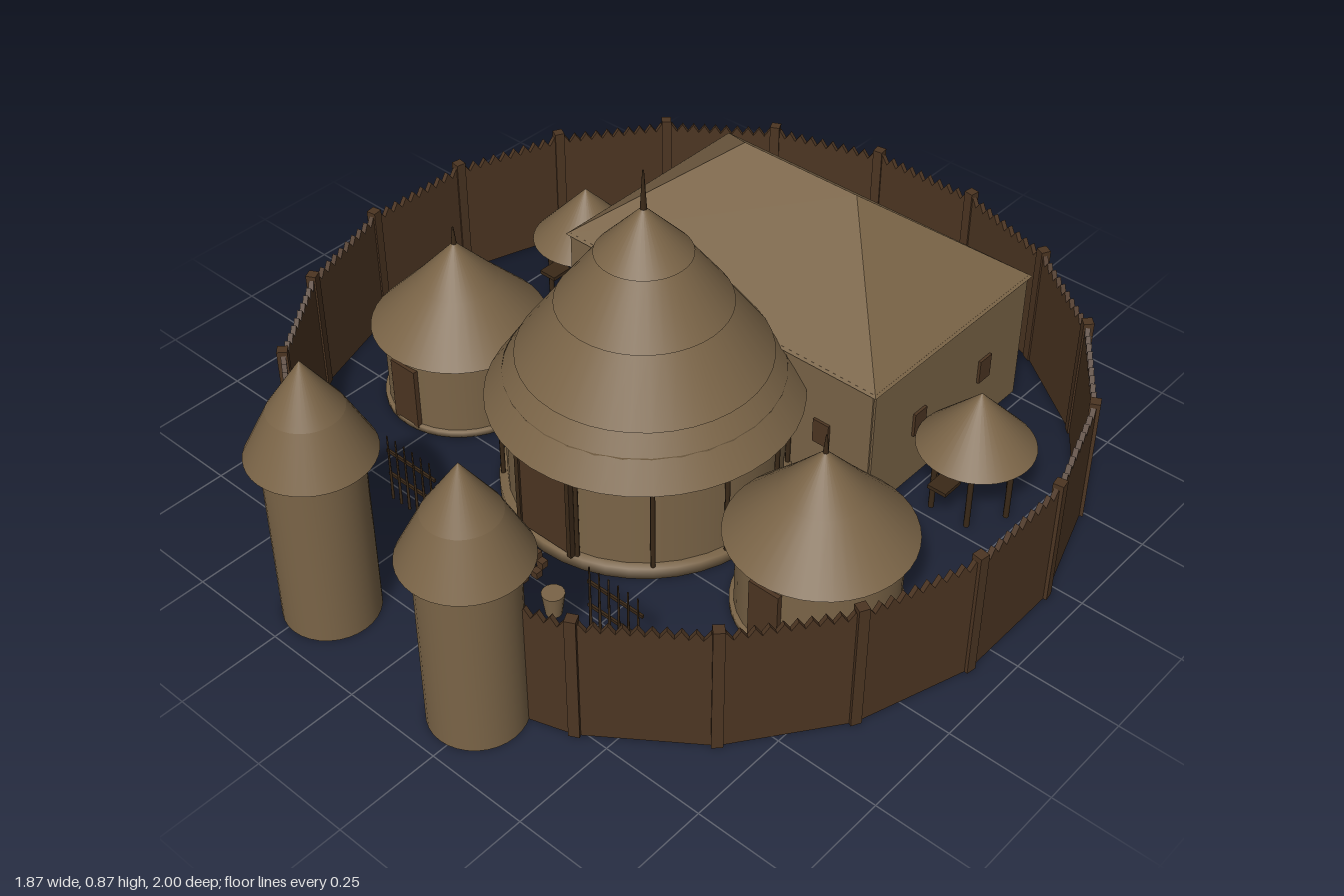
import * as THREE from 'three';

const mat = (name, color) => new THREE.MeshStandardMaterial({ name, color, side: THREE.DoubleSide });

export function createModel() {
  const tan = mat('tan thatch and clay', 0x7a6447);
  const brown = mat('brown palisade', 0x4c3522);
  const dark = mat('dark timber', 0x3a2918);
  const model = new THREE.Group();

  const add = (parent, name, geo, material, x = 0, y = 0, z = 0) => {
    const m = new THREE.Mesh(geo, material);
    m.name = name;
    m.position.set(x, y, z);
    parent.add(m);
    return m;
  };
  const group = (name, x = 0, z = 0) => {
    const g = new THREE.Group();
    g.name = name;
    g.position.set(x, 0, z);
    model.add(g);
    return g;
  };
  const box = (w, h, d) => new THREE.BoxGeometry(w, h, d);

  // Open wall of a round building, standing on the ground
  const roundWall = (g, r, h) =>
    add(g, 'wall', new THREE.CylinderGeometry(r, r, h, 32, 1, true), tan, 0, h / 2, 0);
  // Stacked roof tiers from [radius, height] pairs, each lapping over the one below
  const roof = (g, pts, lap = 0) => {
    for (let i = 0; i < pts.length - 1; i++) {
      const [r0, y0] = pts[i], [r1, y1] = pts[i + 1];
      add(g, 'roofTier', new THREE.CylinderGeometry(r1, r0 + (i ? lap : 0), y1 - y0, 40, 1, true),
        tan, 0, (y0 + y1) / 2, 0);
    }
  };
  const plinth = (g, r, h) => {
    const pts = [[r - 0.025, 0], [r, 0], [r, h], [r - 0.025, h]].map(p => new THREE.Vector2(...p));
    add(g, 'plinth', new THREE.LatheGeometry(pts, 40), tan);
  };
  const spike = (g, y0, y1) =>
    add(g, 'spike', new THREE.CylinderGeometry(0.002, 0.008, y1 - y0, 8), dark, 0, (y0 + y1) / 2, 0);
  const postRing = (g, n, r, h, t) => {
    for (let i = 0; i < n; i++) {
      const a = ((i + 0.5) / n) * Math.PI * 2;
      add(g, 'post', new THREE.CylinderGeometry(t, t, h, 6), dark, r * Math.sin(a), h / 2, r * Math.cos(a));
    }
  };

  // Palisade: a twenty-sided ring with a gap at the gate
  const palisade = group('palisade', 0, -0.07);
  const R = 0.933, step = Math.PI / 10;
  const side = 2 * R * Math.sin(step / 2);
  const corner = k => [R * Math.sin((k + 0.5) * step), -R * Math.cos((k + 0.5) * step)];
  const panel = (k, from, to) => {
    const [ax, az] = corner(k - 1), [bx, bz] = corner(k);
    const s = new THREE.Shape();
    const tooth = side / 10;
    const n = Math.round((to - from) * 10);
    s.moveTo(0, 0);
    s.lineTo(0, 0.303);
    for (let i = 0; i < n; i++) {
      s.lineTo((i + 0.5) * tooth, 0.325);
      s.lineTo((i + 1) * tooth, 0.303);
    }
    s.lineTo(n * tooth, 0);
    const geo = new THREE.ExtrudeGeometry(s, { depth: 0.012, bevelEnabled: false });
    geo.translate(0, 0, -0.006);
    const m = add(palisade, 'wallPanel', geo, brown, ax + (bx - ax) * from, 0, az + (bz - az) * from);
    m.rotation.y = Math.atan2(-(bz - az), bx - ax);
  };
  for (let k = -8; k <= 8; k++) panel(k, 0, 1);
  panel(9, 0, 0.5);
  panel(-9, 0.5, 1);
  for (let k = -9; k <= 8; k++) {
    const [x, z] = corner(k);
    add(palisade, 'palisadePost', box(0.025, 0.335, 0.025), brown, x, 0.1675, z)
      .rotation.y = -(k + 0.5) * step;
  }

  // Central keep
  const keep = group('keep', 0, 0.08);
  roundWall(keep, 0.325, 0.34);
  plinth(keep, 0.345, 0.03);
  roof(keep, [[0.37, 0.27], [0.29, 0.387], [0.197, 0.525], [0.106, 0.655], [0, 0.775]], 0.006);
  spike(keep, 0.765, 0.865);
  postRing(keep, 12, 0.335, 0.3, 0.006);
  add(keep, 'door', box(0.15, 0.22, 0.03), brown, 0, 0.145, 0.322);
  for (const s of [-1, 1]) add(keep, 'doorJamb', box(0.012, 0.23, 0.04), dark, s * 0.078, 0.145, 0.322);
  add(keep, 'doorLintel', box(0.168, 0.012, 0.04), dark, 0, 0.256, 0.322);

  // Rear hall with a hipped roof
  const hall = group('hall', 0, -0.4625);
  const W = 0.465, D = 0.297, H = 0.357;
  for (const s of [-1, 1]) {
    add(hall, 'longWall', box(2 * W, H, 0.01), tan, 0, H / 2, s * D);
    add(hall, 'endWall', box(0.01, H, 2 * D), tan, s * W, H / 2, 0);
    for (const x of [-0.33, -0.12, 0.12, 0.33])
      add(hall, 'window', box(0.045, 0.065, 0.024), brown, x, 0.17, s * D);
    for (const z of [-0.14, 0.12])
      add(hall, 'window', box(0.024, 0.065, 0.045), brown, s * W, 0.17, z);
  }
  const e = 0.476, d = 0.308, y = 0.352, t = 0.602, r = 0.168;
  const a = [-e, y, d], b = [e, y, d], c = [e, y, -d], f = [-e, y, -d], p = [-r, t, 0], q = [r, t, 0];
  const hip = new THREE.BufferGeometry();
  hip.setAttribute('position', new THREE.Float32BufferAttribute(
    [a, b, q, a, q, p, b, c, q, c, f, p, c, p, q, f, a, p].flat(), 3));
  hip.computeVertexNormals();
  add(hall, 'hipRoof', hip, tan);

  for (const s of [-1, 1]) {
    // Gate towers
    const tower = group('gateTower', s * 0.23, 0.853);
    roundWall(tower, 0.11, 0.46);
    roof(tower, [[0.142, 0.45], [0.083, 0.567], [0, 0.69]]);

    // Round huts
    const hut = group('roundHut', s * 0.56, 0.135);
    roundWall(hut, 0.185, 0.24);
    plinth(hut, 0.195, 0.015);
    roof(hut, [[0.215, 0.215], [0.1, 0.335], [0, 0.445]]);
    spike(hut, 0.425, 0.485);
    add(hut, 'door', box(0.08, 0.17, 0.02), brown, 0, 0.095, 0.183);

    // Small open pavilions on posts
    const pavilion = group('pavilion', s * 0.615, -0.37);
    roof(pavilion, [[0.14, 0.165], [0, 0.315]]);
    add(pavilion, 'ceiling', new THREE.CylinderGeometry(0.115, 0.115, 0.01, 32), dark, 0, 0.168, 0);
    postRing(pavilion, 6, 0.1, 0.165, 0.007);
    add(pavilion, 'shelf', box(0.05, 0.01, 0.06), dark, 0, 0.12, 0.12);

    // Tapered buckets
    add(model, 'bucket', new THREE.CylinderGeometry(0.027, 0.019, 0.06, 14), tan, s * 0.15, 0.03, 0.545);

    // Spear racks
    const rack = group('spearRack', s * 0.318, 0.525);
    for (const h of [0.07, 0.14]) add(rack, 'rail', box(0.16, 0.008, 0.006), dark, 0, h, 0);
    for (let i = 0; i < 6; i++)
      add(rack, 'spear', new THREE.CylinderGeometry(0.002, 0.004, 0.19, 6), dark, -0.07 + i * 0.028, 0.095, 0.005);
  }

  // Campfire with stones and crossed logs
  const fire = group('campfire', 0, 0.49);
  for (let i = 0; i < 8; i++) {
    const ang = (i * Math.PI) / 4;
    add(fire, 'stone', box(0.018, 0.018, 0.018), brown, 0.043 * Math.sin(ang), 0.009, 0.043 * Math.cos(ang));
  }
  for (const turn of [0.2, 1.75]) {
    const log = add(fire, 'log', new THREE.CylinderGeometry(0.006, 0.006, 0.065, 8), dark, 0, 0.015, 0);
    log.rotation.set(0, turn, Math.PI / 2);
  }

  return model;
}
